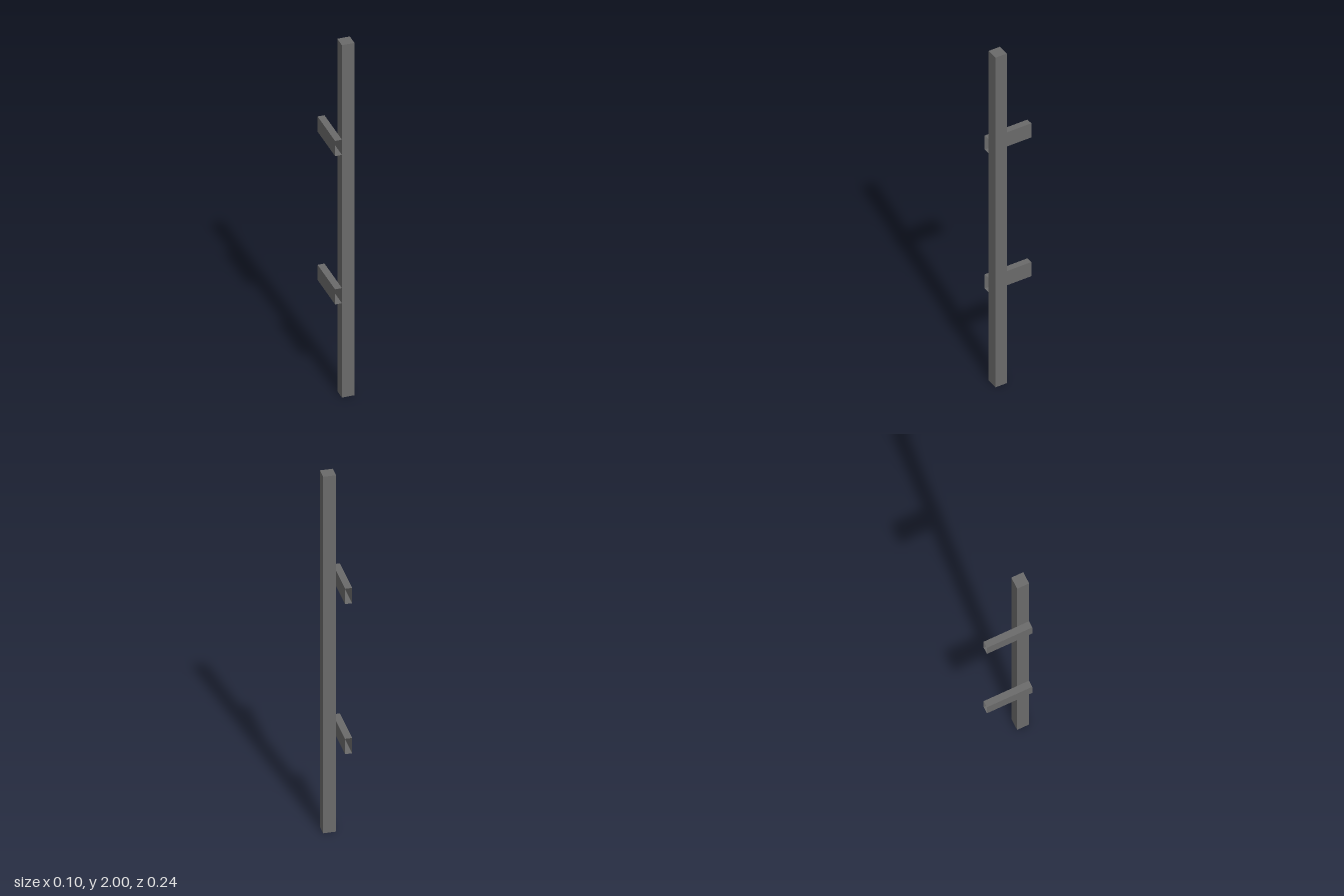
import * as THREE from 'three';

const DARK_GREY = 0x6a6a6a;
const material = new THREE.MeshStandardMaterial({ color: DARK_GREY, flatShading: true });
const tubeMaterial = new THREE.MeshStandardMaterial({
  color: DARK_GREY, flatShading: true, side: THREE.DoubleSide,
});

// Rectangular tube along z, with both ends open
function openTube(width, height, length) {
  const geometry = new THREE.BoxGeometry(width, height, length);
  // The last two faces of a box are its +z and -z ends
  geometry.setIndex(Array.from(geometry.index.array).slice(0, 24));
  geometry.clearGroups();
  return geometry;
}

export function createModel() {
  const group = new THREE.Group();
  group.name = 'pullHandle';

  const halfWidth = 0.05;
  const halfDepth = 0.122;
  const barSize = 0.0645;
  const bracketWidth = 2 * halfWidth - barSize;

  // Tall square grip bar
  const bar = new THREE.Mesh(new THREE.BoxGeometry(barSize, 2, barSize), material);
  bar.name = 'gripBar';
  bar.position.set(halfWidth - barSize / 2, 1, halfDepth - barSize / 2);
  group.add(bar);

  // Two hollow brackets fixed to the side of the bar, reaching back
  const bracketGeometry = openTube(bracketWidth, 0.086, 2 * halfDepth);
  for (const [name, side] of [['lowerBracket', -1], ['upperBracket', 1]]) {
    const bracket = new THREE.Mesh(bracketGeometry, tubeMaterial);
    bracket.name = name;
    bracket.position.set(-halfWidth + bracketWidth / 2, 1 + side * 0.421, 0);
    group.add(bracket);
  }

  return group;
}
